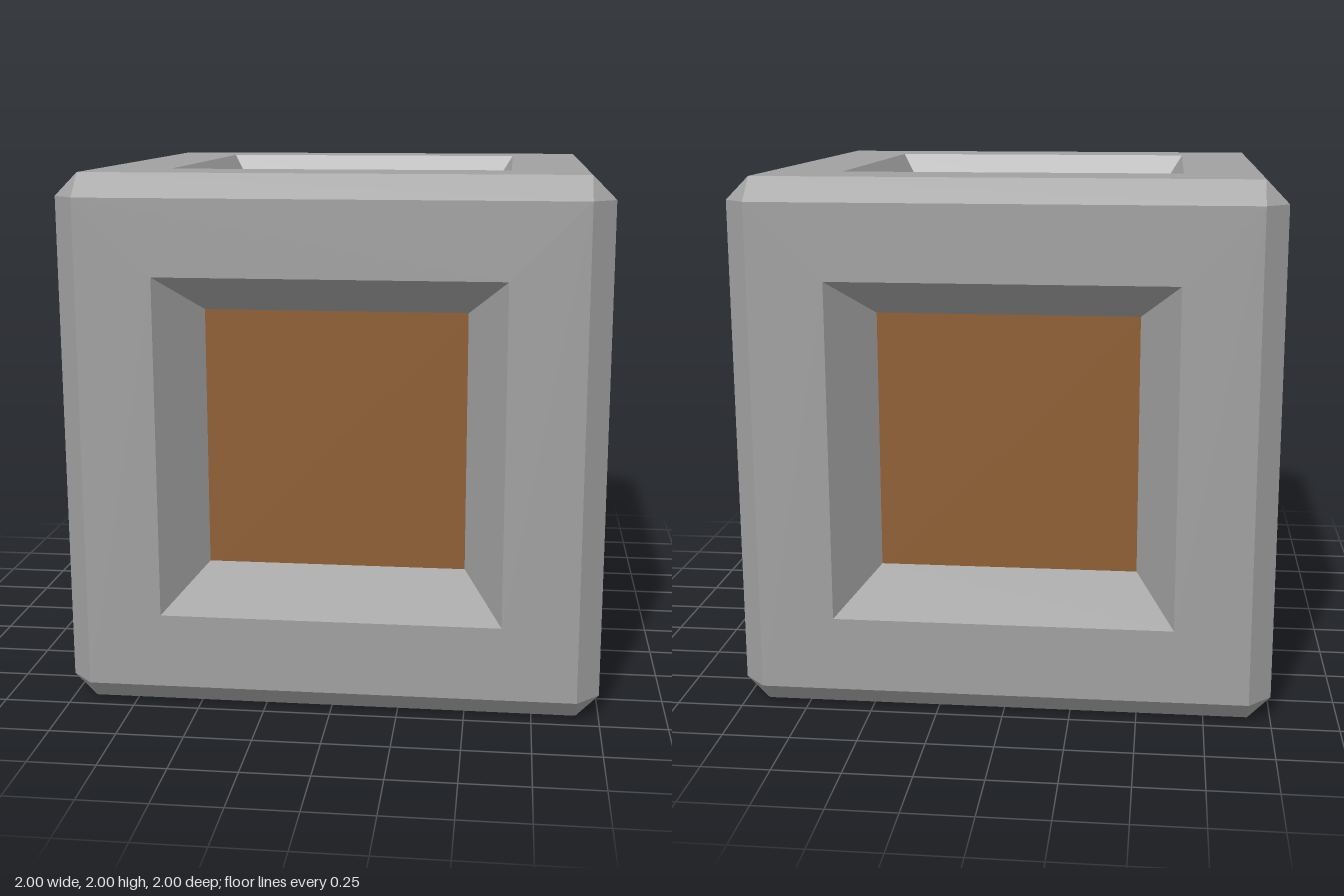
import * as THREE from 'three';

const OUT = 1;        // half size of the cube
const FLAT = 0.915;   // half width of the flat face inside the bevels
const OPEN = 0.635;   // half width of the recess opening
const FLOOR = 0.49;   // half width of the recess floor
const DEPTH = 0.23;   // recess depth

// Flat-faced normals for hard edges
function faceted(geometry) {
  const g = geometry.index ? geometry.toNonIndexed() : geometry;
  g.computeVertexNormals();
  return g;
}

// Four-sided ring surface from [half width, height] pairs, facing +y
function squareLathe(profile) {
  const points = profile.map(([w, y]) => new THREE.Vector2(w * Math.SQRT2, y));
  return faceted(new THREE.LatheGeometry(points, 4, Math.PI / 4));
}

export function createModel() {
  const stone = new THREE.MeshStandardMaterial({ color: 0xa0a0a0 });
  stone.name = 'greyStone';
  const wood = new THREE.MeshStandardMaterial({ color: 0x8e5e32 });
  wood.name = 'brownPanel';

  const model = new THREE.Group();
  model.name = 'bevelledCube';
  const add = (parent, name, geometry, material) => {
    const mesh = new THREE.Mesh(geometry, material);
    mesh.name = name;
    parent.add(mesh);
    return mesh;
  };

  // Six sides: flat border, sloping recess walls and panel
  const border = squareLathe([[FLAT, OUT], [OPEN, OUT]]);
  const walls = squareLathe([[OPEN, OUT], [FLOOR, OUT - DEPTH]]);
  const panel = new THREE.PlaneGeometry(2 * FLOOR, 2 * FLOOR)
    .rotateX(-Math.PI / 2).translate(0, OUT - DEPTH, 0);
  const up = new THREE.Vector3(0, 1, 0);
  const sides = {
    top: [0, 1, 0], bottom: [0, -1, 0], left: [1, 0, 0],
    right: [-1, 0, 0], front: [0, 0, 1], back: [0, 0, -1],
  };
  for (const [name, direction] of Object.entries(sides)) {
    const side = new THREE.Group();
    side.name = name + 'Side';
    side.quaternion.setFromUnitVectors(up, new THREE.Vector3(...direction));
    add(side, name + 'Border', border, stone);
    add(side, name + 'RecessWalls', walls, stone);
    add(side, name + 'Panel', panel, wood);
    model.add(side);
  }

  // Twelve edge bevels, four around each axis
  const middle = (OUT + FLAT) / Math.SQRT2;
  const bevel = new THREE.PlaneGeometry((OUT - FLAT) * Math.SQRT2, 2 * FLAT)
    .translate(0, 0, middle);
  const axes = { vertical: [0, 0, 0], sideways: [0, 0, Math.PI / 2], lengthwise: [Math.PI / 2, 0, 0] };
  for (const [name, rotation] of Object.entries(axes)) {
    const group = new THREE.Group();
    group.name = name + 'Bevels';
    group.rotation.set(...rotation);
    for (let i = 0; i < 4; i++) {
      add(group, name + 'Bevel', bevel, stone).rotation.y = Math.PI / 4 + i * Math.PI / 2;
    }
    model.add(group);
  }

  // Eight triangular corner cuts
  for (const x of [-1, 1]) for (const y of [-1, 1]) for (const z of [-1, 1]) {
    const corners = [
      new THREE.Vector3(x * OUT, y * FLAT, z * FLAT),
      new THREE.Vector3(x * FLAT, y * OUT, z * FLAT),
      new THREE.Vector3(x * FLAT, y * FLAT, z * OUT),
    ];
    if (x * y * z < 0) corners.reverse();
    add(model, 'cornerCut', faceted(new THREE.BufferGeometry().setFromPoints(corners)), stone);
  }

  model.position.y = OUT;
  const root = new THREE.Group();
  root.name = 'recessedBlock';
  root.add(model);
  return root;
}
